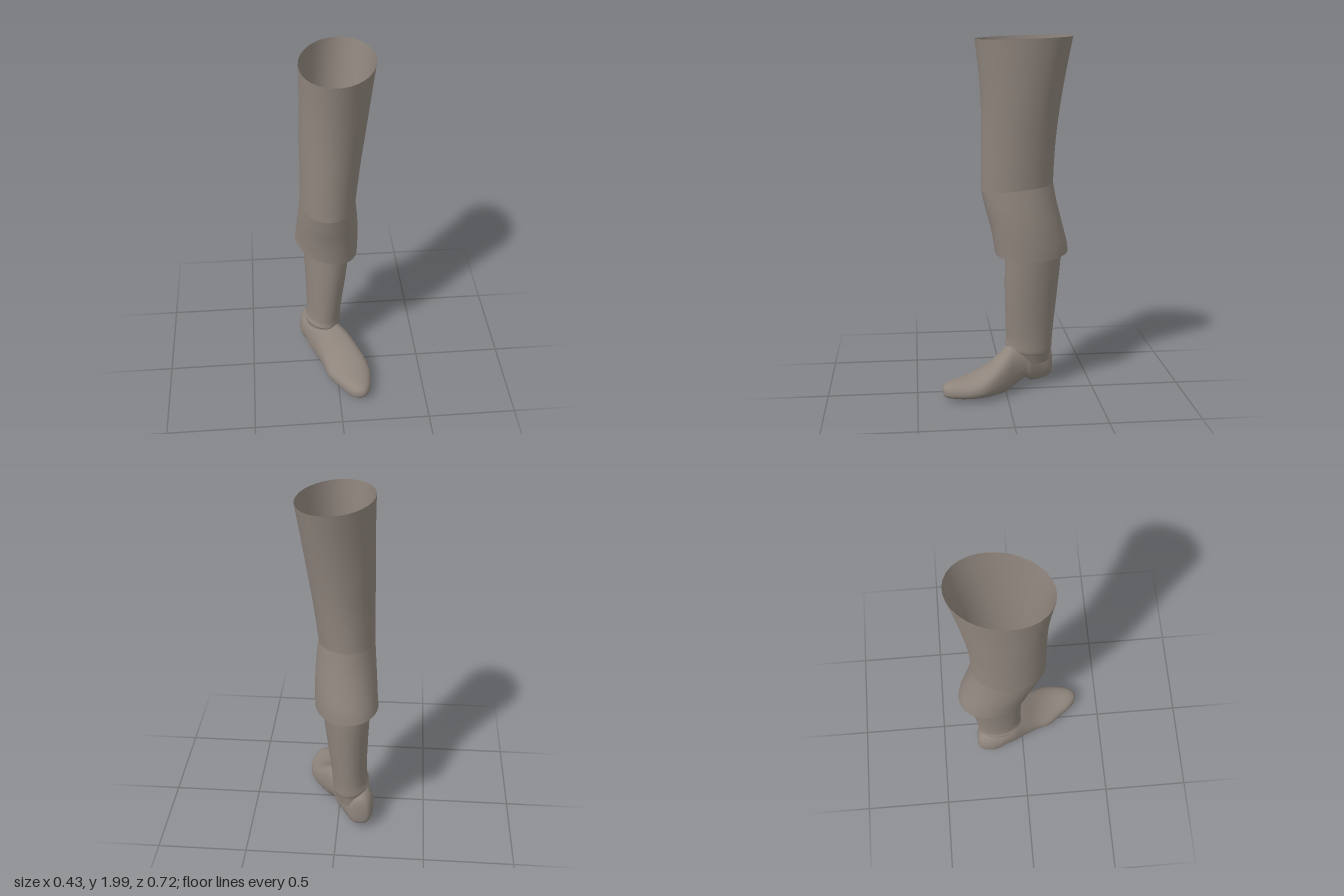
import * as THREE from 'three';

const SIDES = 32;

// Skin a list of closed rings with smooth normals
function loft(rings, material, name) {
  const n = rings[0].length;
  const index = [];
  for (let i = 0; i < rings.length - 1; i++) {
    for (let j = 0; j < n; j++) {
      const k = (j + 1) % n;
      const a = i * n + j, b = i * n + k, c = a + n, d = b + n;
      index.push(a, b, c, b, d, c);
    }
  }
  const geometry = new THREE.BufferGeometry().setFromPoints(rings.flat());
  geometry.setIndex(index);
  geometry.computeVertexNormals();
  const mesh = new THREE.Mesh(geometry, material);
  mesh.name = name;
  return mesh;
}

// Smoothly resample rows of numbers, passing through each row
function refine(rows, steps) {
  const out = [];
  const cr = (a, b, c, d, t) => 0.5 * (2 * b + (c - a) * t
    + (2 * a - 5 * b + 4 * c - d) * t * t + (3 * b - a - 3 * c + d) * t * t * t);
  const at = (i) => rows[Math.min(Math.max(i, 0), rows.length - 1)];
  for (let i = 0; i < rows.length - 1; i++) {
    for (let s = 0; s < steps; s++) {
      out.push(rows[i].map((v, k) => cr(at(i - 1)[k], v, at(i + 1)[k], at(i + 2)[k], s / steps)));
    }
  }
  out.push(rows[rows.length - 1]);
  return out;
}

const angles = Array.from({ length: SIDES }, (_, j) => (j / SIDES) * Math.PI * 2);

// Level ring: [y, xMin, xMax, zMin, zMax, skew, tilt in x, tilt in z]
function levelRing([y, x0, x1, z0, z1, skew, tx, tz]) {
  return angles.map((t) => new THREE.Vector3(
    (x0 + x1) / 2 + ((x1 - x0) / 2) * Math.cos(t),
    y + tx * Math.cos(t) + tz * Math.sin(t),
    (z0 + z1) / 2 + ((z1 - z0) / 2) * Math.sin(t + skew),
  ));
}

// Upright foot slice: [z, x centre, half width, y bottom, y top]
function footRing([z, cx, w, y0, y1]) {
  const power = (v, e) => Math.sign(v) * Math.abs(v) ** e;
  const mid = y0 + (y1 - y0) * 0.42;
  return angles.map((t) => {
    const s = Math.sin(t);
    const h = s > 0 ? y1 - mid : mid - y0;
    return new THREE.Vector3(
      cx + w * power(Math.cos(t), s > 0 ? 0.9 : 0.75), mid + h * power(s, 0.85), z);
  });
}

export function createModel() {
  const cloth = new THREE.MeshStandardMaterial({ color: 0x8f857d, side: THREE.DoubleSide });
  cloth.name = 'warm grey';
  const group = new THREE.Group();
  group.name = 'leg';
  const tube = (name, rows) =>
    group.add(loft(refine(rows, 4).map(levelRing), cloth, name));

  // Trouser leg above the knee, open at the top
  const knee = [1.18, -0.19, 0.112, -0.268, 0.13, 0.03, 0, -0.02];
  tube('upperTrouser', [
    [1.985, -0.18, 0.215, -0.352, 0.162, -0.14, -0.004, -0.009],
    [1.8, -0.18, 0.19, -0.318, 0.142, -0.1, 0, 0],
    [1.6, -0.185, 0.163, -0.29, 0.13, -0.06, 0, 0],
    [1.4, -0.186, 0.136, -0.272, 0.13, -0.03, 0, 0],
    knee,
  ]);

  // Knee and loose hem
  tube('lowerTrouser', [
    knee,
    [1.08, -0.198, 0.123, -0.29, 0.11, 0.07, 0, -0.01],
    [0.97, -0.207, 0.131, -0.322, 0.084, 0.12, 0, 0],
    [0.87, -0.214, 0.132, -0.35, 0.064, 0.16, -0.01, 0],
    [0.812, -0.219, 0.13, -0.36, 0.055, 0.18, -0.02, 0.004],
  ]);

  // Calf, running up inside the hem and down into the boot
  tube('calf', [
    [1.0, -0.178, 0.105, -0.3, 0.0, 0.15, 0, 0],
    [0.8, -0.174, 0.09, -0.318, 0.0, 0.15, 0, 0],
    [0.6, -0.166, 0.07, -0.303, 0.0, 0.13, 0, 0],
    [0.4, -0.161, 0.046, -0.284, -0.006, 0.1, 0, 0],
    [0.3, -0.166, 0.037, -0.276, -0.01, 0.08, 0, 0],
    [0.255, -0.176, 0.036, -0.275, -0.004, 0.08, -0.02, 0.012],
    [0.235, -0.168, 0.03, -0.268, -0.015, 0.08, -0.02, 0.012],
    [0.16, -0.165, 0.015, -0.262, -0.03, 0.08, 0, 0],
  ]);

  // Boot foot, turned outwards, with heel and arch
  group.add(loft(refine([
    [-0.286, -0.13, 0.001, 0.11, 0.112],
    [-0.282, -0.13, 0.04, 0.06, 0.19],
    [-0.26, -0.128, 0.066, 0.04, 0.235],
    [-0.2, -0.115, 0.092, 0.03, 0.255],
    [-0.145, -0.09, 0.108, 0.04, 0.26],
    [-0.115, -0.078, 0.108, 0.06, 0.265],
    [-0.05, -0.045, 0.115, 0.03, 0.272],
    [0.0, -0.01, 0.12, 0.01, 0.25],
    [0.1, 0.045, 0.128, 0.012, 0.172],
    [0.18, 0.067, 0.127, 0.017, 0.134],
    [0.25, 0.091, 0.1, 0.02, 0.12],
    [0.31, 0.107, 0.071, 0.025, 0.113],
    [0.345, 0.115, 0.044, 0.034, 0.1],
    [0.358, 0.118, 0.022, 0.048, 0.085],
    [0.362, 0.119, 0.001, 0.064, 0.066],
  ], 3).map(footRing), cloth, 'bootFoot'));

  return group;
}
